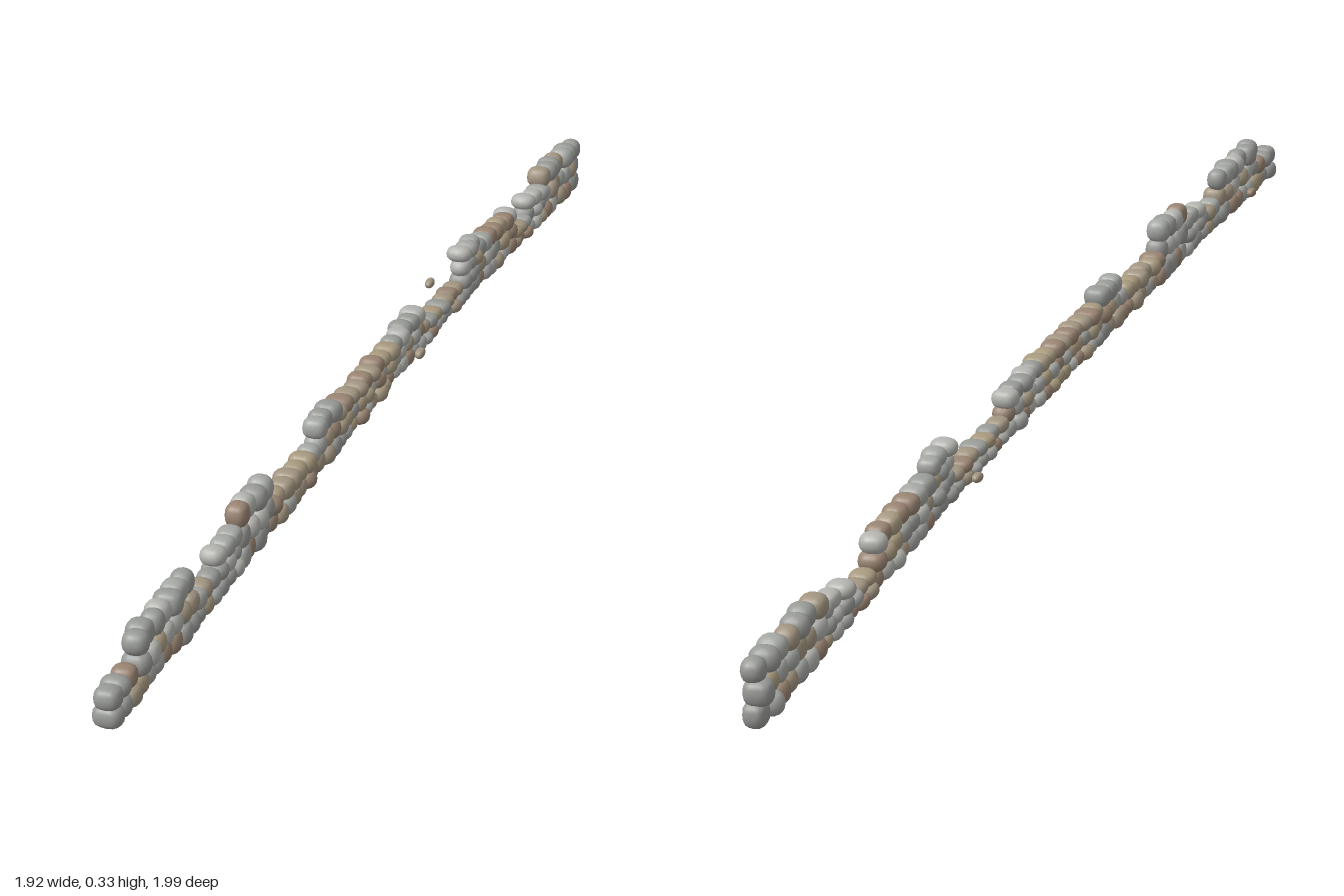
import * as THREE from 'three';
import { mergeVertices } from 'three/addons/utils/BufferGeometryUtils.js';

// Ground height under the wall: [x, y]
const GROUND = [[-0.96, 0.236], [-0.5, 0.2], [0, 0.157], [0.3, 0.122], [0.6, 0.067], [0.96, 0.002]];

// Surviving stretches of wall: [start x, courses, height, share of brown stones]
const STRETCHES = [
  [-0.96, 2, 0.06, 0.1], [-0.87, 3, 0.102, 0.3], [-0.7, 2, 0.055, 0.2], [-0.61, 3, 0.08, 0.1],
  [-0.53, 3, 0.107, 0.15], [-0.44, 2, 0.058, 0.8], [-0.26, 3, 0.094, 0.6], [-0.17, 3, 0.075, 0.6],
  [0.08, 3, 0.078, 0.4], [0.17, 2, 0.042, 0.6], [0.35, 4, 0.104, 0.15], [0.43, 3, 0.087, 0.45],
  [0.61, 2, 0.042, 0.7], [0.69, 3, 0.075, 0.3], [0.77, 3, 0.102, 0.2],
];

// Small loose stones on the sides of the wall: [x, z]
const LOOSE = [[0.32, -0.4], [0.125, -0.07], [-0.805, 0.77]];

const GREYS = [0xb4b5b0, 0xa6a8a4, 0x999b97];
const BROWNS = [0xa89a80, 0x9a8573, 0xa39682];

const SLOPE = 1.035; // the wall runs diagonally, z = -SLOPE * x
const RUN = Math.hypot(1, SLOPE);

function groundAt(x) {
  for (let i = 1; i < GROUND.length; i++) {
    const [x0, y0] = GROUND[i - 1], [x1, y1] = GROUND[i];
    if (x <= x1) return y0 + (y1 - y0) * (x - x0) / (x1 - x0);
  }
  return 0;
}

function seeded(seed) {
  return () => {
    seed = (seed * 1664525 + 1013904223) % 4294967296;
    return seed / 4294967296;
  };
}

// Smooth, squarish cobble that fills a unit box
function cobbleGeometry(power) {
  const ball = new THREE.IcosahedronGeometry(1, 2);
  ball.deleteAttribute('normal');
  ball.deleteAttribute('uv');
  const g = mergeVertices(ball);
  const p = g.attributes.position;
  const soften = (v) => Math.sign(v) * Math.abs(v) ** power;
  for (let i = 0; i < p.count; i++) {
    p.setXYZ(i, soften(p.getX(i)), soften(p.getY(i)), soften(p.getZ(i)));
  }
  g.scale(0.5, 0.5, 0.5);
  g.computeVertexNormals();
  return g;
}

export function createModel() {
  const group = new THREE.Group();
  group.name = 'ruinedStoneWall';
  const rand = seeded(11);
  const jitter = (amount) => (rand() - 0.5) * 2 * amount;
  const pick = (list) => list[Math.floor(rand() * list.length)];
  const shapes = [cobbleGeometry(0.75), cobbleGeometry(0.85)];
  const toMaterial = (color) => new THREE.MeshStandardMaterial({ color });
  const greys = GREYS.map(toMaterial);
  const browns = BROWNS.map(toMaterial);

  function addStone(parent, name, brownShare, pos, size, yaw, roll) {
    const stone = new THREE.Mesh(pick(shapes), pick(rand() < brownShare ? browns : greys));
    stone.name = name;
    stone.position.set(...pos);
    stone.scale.set(...size);
    stone.rotation.set(0, yaw, roll, 'YXZ');
    parent.add(stone);
  }

  // Courses of stones, column by column along the wall
  const COLUMNS = 74;
  const step = 1.9 / COLUMNS;
  const yaw = Math.atan(SLOPE);
  const courses = [0, 1, 2, 3].map((i) => {
    const course = new THREE.Group();
    course.name = `course${i + 1}`;
    group.add(course);
    return course;
  });
  for (let c = 0; c < COLUMNS; c++) {
    const x = -0.95 + (c + 0.5) * step;
    const [, rows, height, brownShare] = STRETCHES.filter((s) => s[0] <= x).pop();
    const roll = Math.atan((groundAt(x + 0.01) - groundAt(x - 0.01)) / (0.02 * RUN));
    const h = height / rows;
    for (let r = 0; r < rows; r++) {
      const side = jitter(0.003);
      addStone(courses[r], 'wallStone', brownShare,
        [x + side + jitter(0.001), groundAt(x) + h * (r + 0.5) + jitter(0.001), -SLOPE * x + side],
        [step * RUN * (1.14 + jitter(0.1)), h * (1.2 + jitter(0.06)), 0.044 + jitter(0.006)],
        yaw + jitter(0.1), roll + jitter(0.05));
    }
  }

  // Loose stones
  for (const [x, z] of LOOSE) {
    addStone(group, 'looseStone', 0.5, [x, groundAt((x - z) / 2) + 0.035, z], [0.03, 0.016, 0.016], yaw, 0);
  }
  return group;
}
